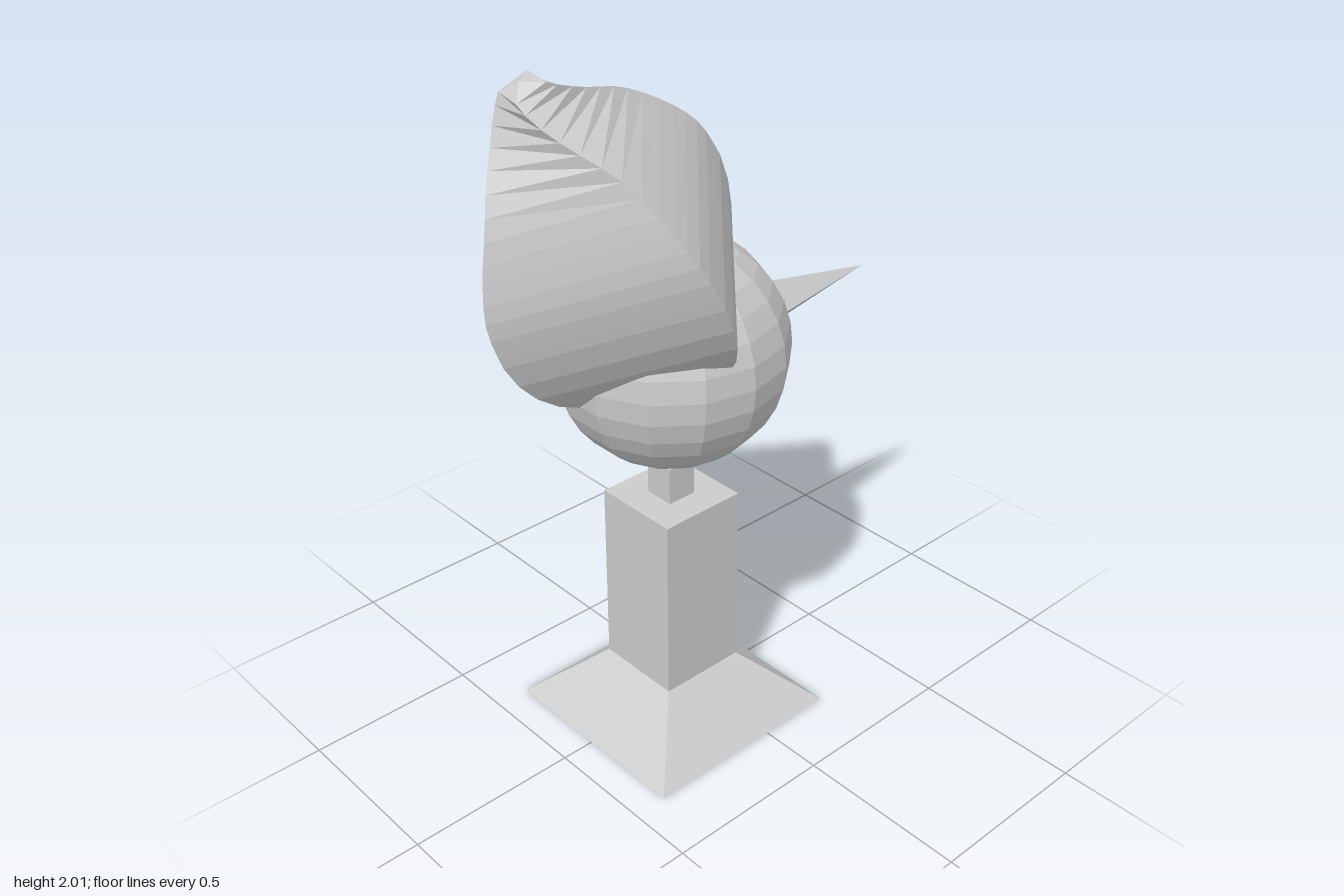
import * as THREE from 'three';

const material = new THREE.MeshStandardMaterial({ color: 0xcccccc, flatShading: true, side: THREE.DoubleSide });
const AXIS_X = -0.088;

function part(parent, name, geometry, x, y, z = 0) {
  const mesh = new THREE.Mesh(geometry, material);
  mesh.name = name;
  mesh.position.set(x, y, z);
  parent.add(mesh);
  return mesh;
}

// Square-sided block, given by its half widths at bottom and top
function squareBlock(bottom, top, height) {
  return new THREE.CylinderGeometry(top * Math.SQRT2, bottom * Math.SQRT2, height, 4)
    .rotateY(Math.PI / 4);
}

// Four-ridged bud: round below, tapering above, its tip twisted
function budGeometry() {
  const radius = 0.4;
  const profile = [];
  for (let i = 0; i < 8; i++) {
    const a = (i / 8) * Math.PI / 2;
    profile.push(new THREE.Vector2(radius * Math.sin(a), -radius * Math.cos(a)));
  }
  const upper = new THREE.SplineCurve([
    [0.4, 0], [0.382, 0.125], [0.318, 0.25], [0.225, 0.375], [0.125, 0.475], [0.06, 0.56],
  ].map(([r, s]) => new THREE.Vector2(r, s)));
  profile.push(...upper.getPoints(14), new THREE.Vector2(0, 0.575));

  const geometry = new THREE.LatheGeometry(profile, 4);
  const pos = geometry.attributes.position;
  const v = new THREE.Vector3();
  const up = new THREE.Vector3(0, 1, 0);
  for (let i = 0; i < pos.count; i++) {
    v.fromBufferAttribute(pos, i);
    const t = Math.max(0, (v.y - 0.3) / 0.27);
    v.applyAxisAngle(up, -THREE.MathUtils.degToRad(60) * Math.pow(t, 2.5));
    pos.setXYZ(i, v.x, v.y, v.z);
  }
  geometry.computeVertexNormals();
  return geometry;
}

export function createModel() {
  const model = new THREE.Group();
  model.name = 'birdOnPedestal';

  // Pedestal
  const pedestal = new THREE.Group();
  pedestal.name = 'pedestal';
  model.add(pedestal);
  part(pedestal, 'foot', squareBlock(0.313, 0.132, 0.165), AXIS_X, 0.0825);
  part(pedestal, 'column', new THREE.BoxGeometry(0.264, 0.555, 0.264), AXIS_X, 0.4425);
  part(pedestal, 'neck', new THREE.BoxGeometry(0.09, 0.11, 0.09), AXIS_X, 0.775);

  // Head
  const head = new THREE.SphereGeometry(0.325, 14, 16).rotateY(Math.PI / 2);
  part(model, 'head', head, AXIS_X, 1.175);

  // Beak, pointing along +x
  const beak = new THREE.ConeGeometry(0.085, 0.465, 4).rotateZ(-Math.PI / 2);
  part(model, 'beak', beak, 0.4275, 1.18);

  // Tilted crest
  const crest = part(model, 'crest', budGeometry(), -0.268, 1.485);
  crest.rotation.z = THREE.MathUtils.degToRad(27.3);

  return model;
}
